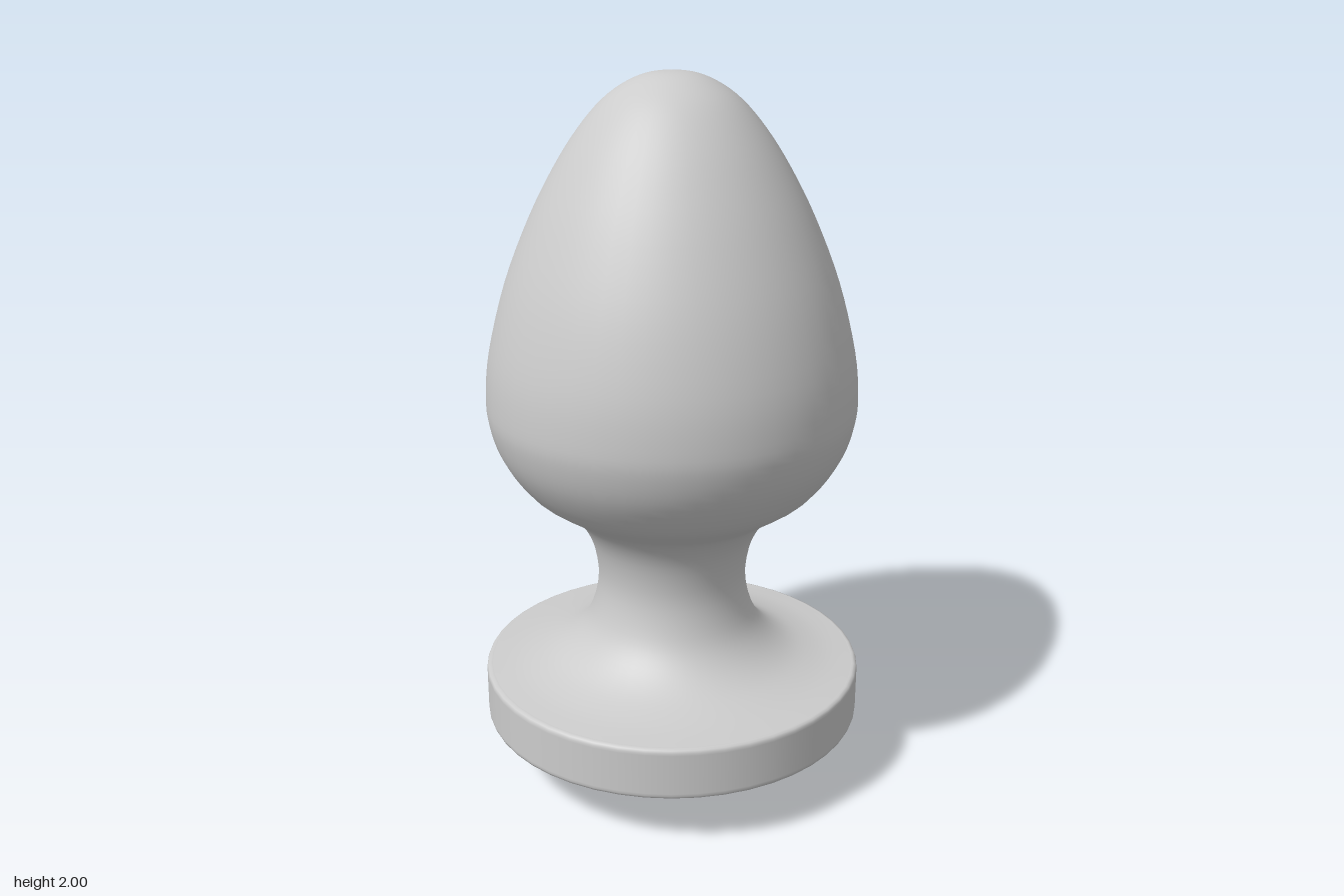
import * as THREE from 'three';
import { ConvexGeometry } from 'three/addons/geometries/ConvexGeometry.js';

const SEGMENTS = 48;

// Ring of eight points at a given radius, height and turn
function octagon(radius, y, turn = 0) {
  return Array.from({ length: 8 }, (_, i) => {
    const a = i * Math.PI / 4 + turn;
    return new THREE.Vector3(radius * Math.cos(a), y, radius * Math.sin(a));
  });
}

function lathe(points, name, material) {
  const mesh = new THREE.Mesh(new THREE.LatheGeometry(points, SEGMENTS), material);
  mesh.name = name;
  return mesh;
}

const toPoints = (pairs) => pairs.map(([r, y]) => new THREE.Vector2(r, y));

export function createModel() {
  const group = new THREE.Group();
  const grey = new THREE.MeshStandardMaterial({ color: 0xcccccc });
  const pink = new THREE.MeshStandardMaterial({ color: 0xd9a0ae, flatShading: true });

  // Egg-shaped bulb flowing through the waist into the flared foot
  const profile = new THREE.SplineCurve(toPoints([
    [0.53, 0.315], [0.44, 0.327], [0.35, 0.355], [0.28, 0.405], [0.235, 0.475],
    [0.213, 0.58], [0.23, 0.69], [0.275, 0.77], [0.335, 0.815], [0.41, 0.87],
    [0.475, 0.96], [0.508, 1.05], [0.515, 1.13], [0.502, 1.26], [0.455, 1.44],
    [0.385, 1.615], [0.315, 1.75], [0.25, 1.85], [0.185, 1.925], [0.12, 1.971],
    [0.06, 1.994], [0, 2],
  ])).getPoints(84);
  profile[profile.length - 1].set(0, 2);
  group.add(lathe(profile, 'bulbAndNeck', grey));

  // Round base plate with softened rims
  group.add(lathe(toPoints([
    [0, 0.165], [0.53, 0.165], [0.536, 0.165], [0.543, 0.168], [0.546, 0.175],
    [0.546, 0.182], [0.546, 0.298], [0.546, 0.305], [0.543, 0.312], [0.536, 0.315],
    [0.53, 0.315], [0.45, 0.315],
  ]), 'basePlate', grey));

  // Faceted gem: octagonal girdle tapering to a flat face turned by half a side
  const gem = new THREE.Mesh(new ConvexGeometry([
    ...octagon(0.455, 0.17),
    ...octagon(0.455, 0.13),
    ...octagon(0.29, 0, Math.PI / 8),
  ]), pink);
  gem.name = 'gem';
  group.add(gem);

  return group;
}
